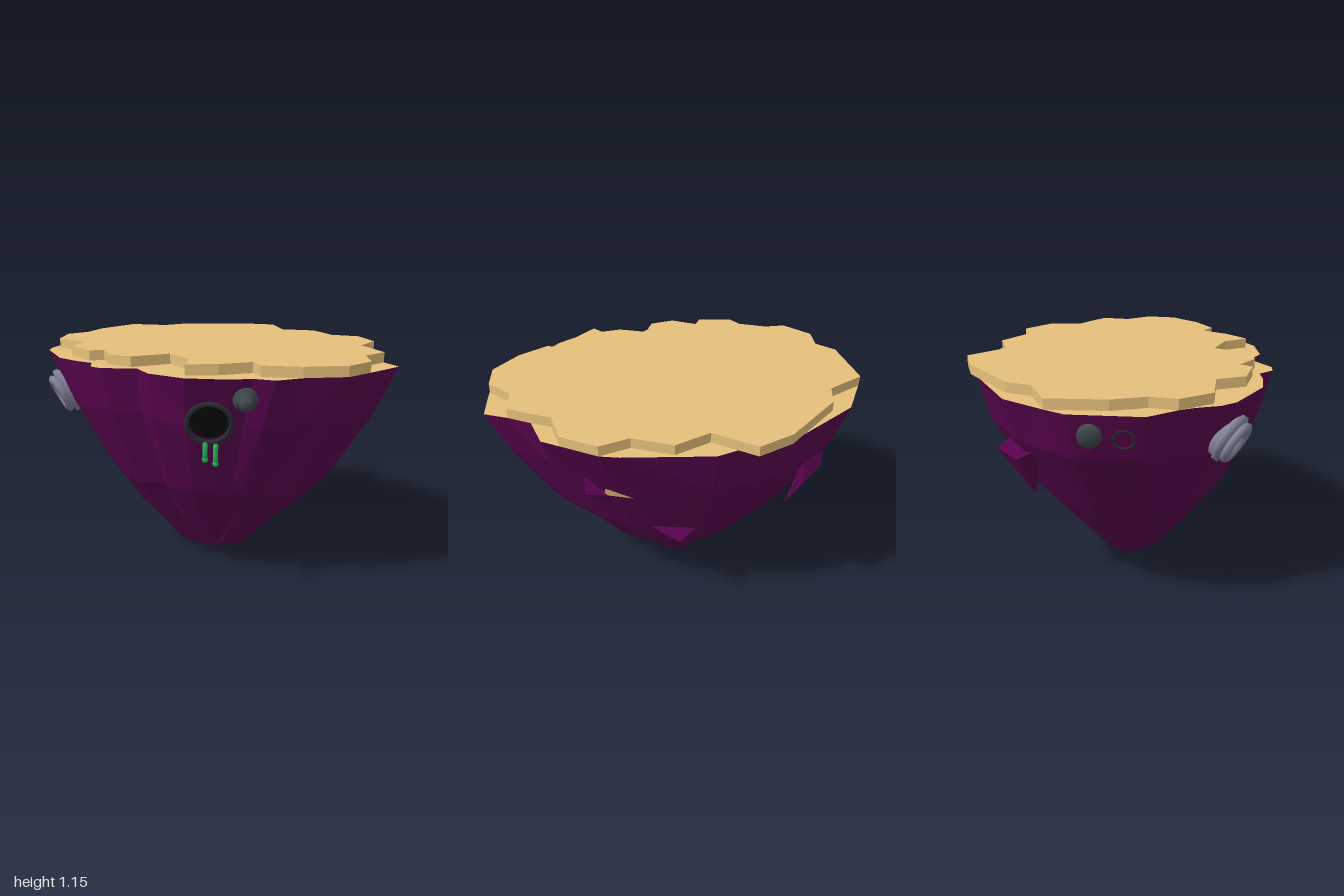
import * as THREE from 'three';
import { ConvexGeometry } from 'three/addons/geometries/ConvexGeometry.js';

const mat = (name, color, extra = {}) => {
  const m = new THREE.MeshStandardMaterial({ color, ...extra });
  m.name = name;
  return m;
};

export function createModel() {
  const group = new THREE.Group();
  const rock = mat('purple rock', 0x59034e, { flatShading: true });
  const sand = mat('sand', 0xe5c07b, { side: THREE.DoubleSide });
  const steel = mat('grey pipe', 0x828298, { side: THREE.DoubleSide });
  const iron = mat('dark iron', 0x3f474c);
  const rim = mat('dark rim', 0x282d31);
  const hole = mat('pipe darkness', 0x0a0a0c);
  const slime = mat('green slime', 0x22b45c);

  let seed = 7;
  const rand = () => (seed = (seed * 16807) % 2147483647) / 2147483647;
  const add = (name, geo, material, parent = group) => {
    const m = new THREE.Mesh(geo, material);
    m.name = name;
    parent.add(m);
    return m;
  };
  // Group at a position whose local +y points along dir
  const mount = (name, pos, dir) => {
    const g = new THREE.Group();
    g.name = name;
    g.position.set(...pos);
    g.quaternion.setFromUnitVectors(new THREE.Vector3(0, 1, 0), new THREE.Vector3(...dir).normalize());
    group.add(g);
    return g;
  };

  // Rock: the rim outline (x, z) shrinks down through rough rings to a blunt point
  const edge = [
    [-0.11, -0.71], [0, -0.74], [0.42, -0.66], [0.51, -0.63], [0.75, -0.45], [0.785, -0.27],
    [0.89, -0.2], [1, -0.14], [0.98, 0.03], [0.95, 0.24], [0.81, 0.39], [0.75, 0.51],
    [0.65, 0.54], [0.58, 0.62], [0.41, 0.72], [0.21, 0.74], [0.08, 0.68], [-0.06, 0.78], [-0.13, 0.78],
    [-0.2, 0.71], [-0.3, 0.72], [-0.44, 0.71], [-0.69, 0.58], [-0.75, 0.51], [-0.79, 0.4], [-0.83, 0.33],
    [-0.935, 0.2], [-0.935, -0.14], [-0.88, -0.24], [-0.75, -0.45], [-0.41, -0.66],
  ];
  const n = edge.length;
  // Below the rim, the back and sides lose their notches, the front keeps its flutes,
  // and every corner but the back left one is cut in
  const lower = edge.map(([x, z], i) => {
    const a = edge[(i + n - 1) % n], b = edge[(i + 1) % n];
    const mx = (a[0] + b[0]) / 2, mz = (a[1] + b[1]) / 2;
    const fill = z < 0.5 && Math.hypot(mx, mz) > Math.hypot(x, z);
    const [px, pz] = fill ? [mx, mz] : [x, z];
    const corner = px < 0 && pz < 0 ? 0 : (2 * px * pz / (px * px + pz * pz)) ** 2;
    return [px * (1 - 0.05 * corner), pz * (1 - 0.05 * corner)];
  });
  // y, x scale, z scale, x shift, z shift, roughness
  const levels = [
    [1.1, 1, 1, 0, 0, 0],
    [0.87, 0.92, 0.945, -0.005, 0.01, 0.03],
    [0.49, 0.665, 0.705, 0.015, 0.035, 0.04],
    [0.28, 0.455, 0.48, 0.025, 0.05, 0.05],
    [0.07, 0.23, 0.2, 0.015, 0.065, 0.06],
    [0.005, 0.05, 0.05, 0, 0.08, 0],
  ];
  const pos = [], idx = [];
  levels.forEach(([y, sx, sz, dx, dz, rough], l) => {
    (l ? lower : edge).forEach(([x, z]) => {
      const k = 1 - rough * rand();
      pos.push(x * sx * k + dx, y + (rand() - 0.5) * rough * 0.8, z * sz * k + dz);
    });
  });
  for (let l = 0; l < levels.length - 1; l++) {
    for (let i = 0; i < n; i++) {
      const a = l * n + i, b = l * n + (i + 1) % n;
      if (rand() < 0.5) idx.push(a, b, a + n, b, b + n, a + n);
      else idx.push(a, b, b + n, a, b + n, a + n);
    }
  }
  const last = (levels.length - 1) * n;
  pos.push(0, 0, 0.08);
  for (let i = 0; i < n; i++) idx.push(last + i, last + (i + 1) % n, last + n);
  const body = new THREE.BufferGeometry();
  body.setAttribute('position', new THREE.Float32BufferAttribute(pos, 3));
  body.setIndex(idx);
  const flat = body.toNonIndexed();
  flat.computeVertexNormals();
  add('rockBody', flat, rock);

  // Jutting ledges
  const ledge = (name, pts) =>
    add(name, new ConvexGeometry(pts.map((p) => new THREE.Vector3(...p))), rock);
  ledge('backLedge', [[0.12, 0.48, -0.54], [-0.02, 0.52, -0.44], [0.25, 0.52, -0.44], [0.12, 0.12, -0.13]]);
  ledge('cornerLedge', [[0.57, 0.79, -0.47], [0.47, 0.83, -0.555], [0.57, 0.89, -0.45], [0.4, 0.6, -0.36]]);
  ledge('leftLedge', [[-0.5, 0.77, -0.56], [-0.64, 0.77, -0.43], [-0.53, 0.86, -0.46], [-0.7, 0.85, -0.3],
    [-0.48, 0.52, -0.38]]);

  // Sandy gap low on the back corner
  const gap = new THREE.BufferGeometry();
  gap.setAttribute('position', new THREE.Float32BufferAttribute(
    [0.48, 0.865, -0.545, 0.36, 0.85, -0.63, 0.485, 0.805, -0.51], 3));
  gap.computeVertexNormals();
  add('rockGap', gap, sand);

  // Sandy ground: rock top and the raised slab
  const outline = (pts) => new THREE.Shape(pts.map(([x, z]) => new THREE.Vector2(x, -z)));
  add('rockTop', new THREE.ShapeGeometry(outline(edge)).rotateX(-Math.PI / 2).translate(0, 1.1, 0), sand);
  const slab = [
    [-0.18, -0.78], [0, -0.62], [0.18, -0.69], [0.36, -0.59], [0.51, -0.63], [0.67, -0.51], [0.69, -0.33],
    [0.79, -0.27], [0.89, -0.2], [0.87, -0.05], [0.97, 0.08], [0.95, 0.24], [0.81, 0.39], [0.65, 0.48],
    [0.565, 0.43], [0.48, 0.57], [0.37, 0.67], [0.29, 0.55], [0.115, 0.49], [0.03, 0.67], [-0.1, 0.69],
    [-0.22, 0.61], [-0.26, 0.67], [-0.44, 0.63], [-0.505, 0.49], [-0.72, 0.48], [-0.83, 0.33],
    [-0.81, 0.2], [-0.87, 0.04], [-0.88, -0.24], [-0.69, -0.33], [-0.65, -0.46], [-0.36, -0.71],
  ];
  add('groundSlab', new THREE.ExtrudeGeometry(outline(slab), { depth: 0.05, bevelEnabled: false })
    .rotateX(-Math.PI / 2).translate(0, 1.1, 0), sand);

  const lathe = (pts, seg = 28) => new THREE.LatheGeometry(pts.map((p) => new THREE.Vector2(...p)), seg);
  const ring = (r, t) => new THREE.TorusGeometry(r, t, 8, 32).rotateX(Math.PI / 2);

  // Hollow stepped pipe on the front
  const pipe = mount('greyPipe', [-0.575, 0.9, 0.55], [-0.4, -0.45, 0.8]);
  add('pipeWall', lathe([[0.06, 0.05], [0.07, 0.07], [0.095, 0.07], [0.108, 0.058], [0.108, 0.045],
    [0.1, 0.04], [0.1, 0.032], [0.124, 0.028], [0.124, 0.005], [0.112, 0], [0.112, -0.05], [0.06, -0.05],
    [0.06, 0.05]]), steel, pipe);
  add('pipeBack', new THREE.CylinderGeometry(0.062, 0.062, 0.008, 28).translate(0, 0.02, 0), rock, pipe);

  // Drain with a dark opening, a rim standing off the rock, and dripping slime
  const drain = mount('drain', [0.455, 0.895, 0.605], [0.6, -0.3, 0.74]);
  add('drainRim', ring(0.1, 0.012).translate(0, 0.025, 0), rim, drain);
  add('drainOpening', new THREE.CylinderGeometry(0.092, 0.085, 0.07, 28).translate(0, -0.033, 0), hole, drain);
  const drip = (x, z, y0, y1) => {
    const path = new THREE.CatmullRomCurve3([
      new THREE.Vector3(x - 0.012, y0 - 0.02, z - 0.02), new THREE.Vector3(x, y0, z),
      new THREE.Vector3(x + 0.004, (y0 + y1) / 2, z + 0.004), new THREE.Vector3(x, y1, z)]);
    add('slimeDrip', new THREE.TubeGeometry(path, 14, 0.012, 8), slime);
    add('slimeDrop', new THREE.SphereGeometry(0.015, 10, 8).translate(x, y1, z), slime);
  };
  drip(0.455, 0.635, 0.79, 0.72);
  drip(0.492, 0.605, 0.785, 0.7);

  // Tapered iron knobs
  add('frontKnobShape', lathe([[0.052, -0.08], [0.058, -0.005], [0.053, 0.012], [0.037, 0.02],
    [0.028, 0.055], [0.02, 0.066], [0, 0.068]]), iron, mount('frontKnob', [0.615, 1, 0.545], [0.65, -0.25, 0.7]));
  add('sideKnobShape', lathe([[0.053, -0.06], [0.053, 0.015], [0.045, 0.035], [0, 0.04]]), iron,
    mount('sideKnob', [-0.915, 1.005, -0.04], [-0.95, -0.3, 0]));

  // Thin side ring
  add('sideRingShape', ring(0.045, 0.005), rim, mount('sideRing', [-0.945, 1, 0.11], [-0.95, -0.28, 0]));

  return group;
}
